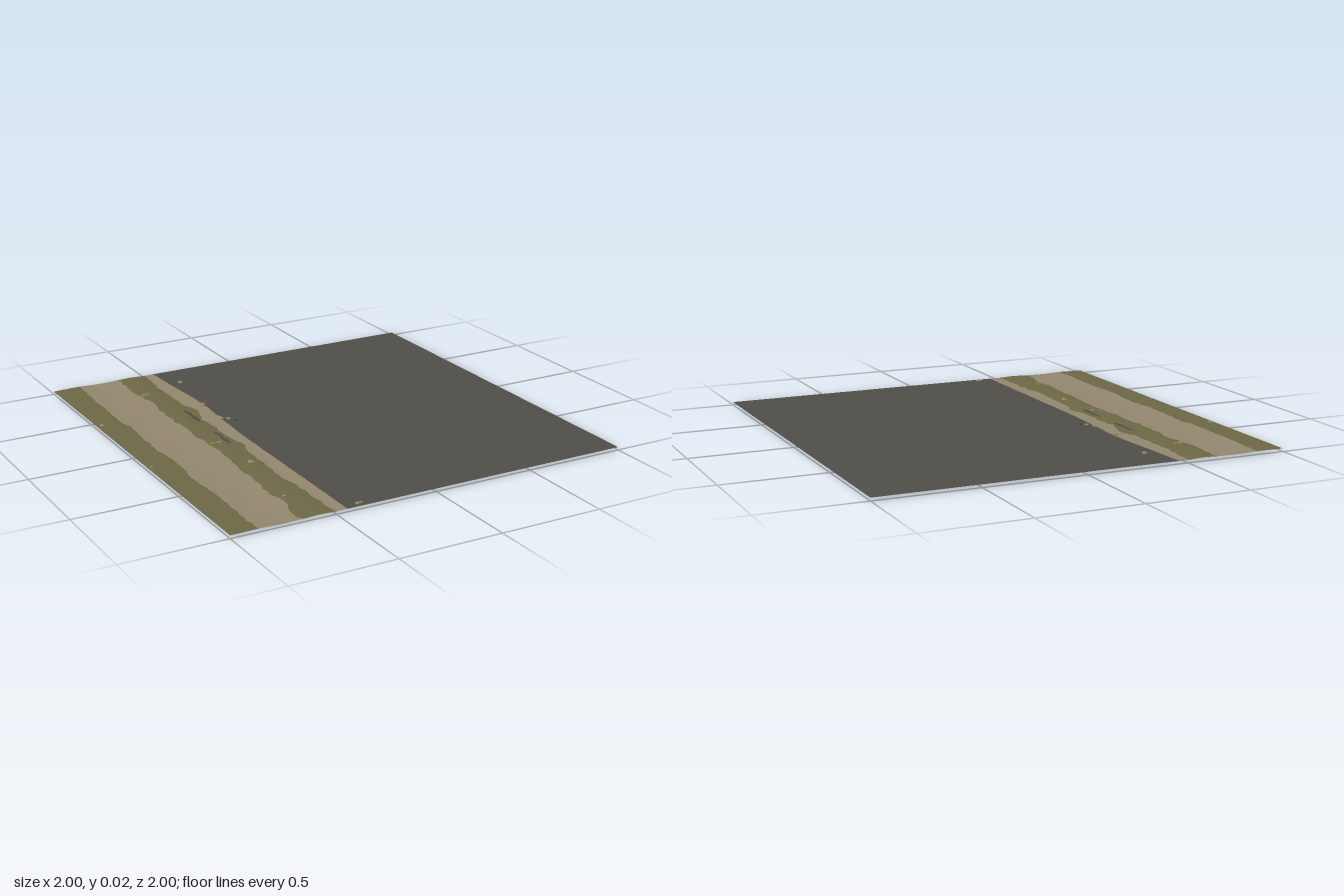
import * as THREE from 'three';

const mat = (name, color, side = THREE.DoubleSide) => {
  const m = new THREE.MeshStandardMaterial({ color, side });
  m.name = name;
  return m;
};

// small seeded random
let seed = 7;
const rnd = () => (seed = (seed * 16807) % 2147483647) / 2147483647;

// piecewise-linear lookup in [position, value] pairs
const lookup = (pts, t) => {
  for (let i = 1; i < pts.length; i++) {
    if (t <= pts[i][0]) {
      const [a, va] = pts[i - 1], [b, vb] = pts[i];
      return va + (vb - va) * (t - a) / (b - a);
    }
  }
  return pts[pts.length - 1][1];
};

// shallow ruts of the verge, across the road
const PROFILE = [[-1, 0.014], [-0.87, 0.016], [-0.76, 0.012], [-0.66, 0.014],
  [-0.58, 0.017], [-0.5, 0.013], [-0.43, 0.014], [1, 0.014]];
const heightAt = x => lookup(PROFILE, x);

// ragged edge: control points [z, x] plus a little jitter per row
const ROWS = 60;
const edge = (pts, jitter) => Array.from({ length: ROWS + 1 }, (_, i) =>
  lookup(pts, -1 + 2 * i / ROWS) + (rnd() - 0.5) * jitter);

// ground sheet between two edges
function strip(name, left, right, material, cols = 5) {
  const g = new THREE.PlaneGeometry(1, 1, cols, ROWS);
  const p = g.attributes.position;
  for (let i = 0; i < p.count; i++) {
    const row = Math.floor(i / (cols + 1)), u = (i % (cols + 1)) / cols;
    const x = left[row] + (right[row] - left[row]) * u;
    p.setXYZ(i, x, heightAt(x), -1 + 2 * row / ROWS);
  }
  g.computeVertexNormals();
  const mesh = new THREE.Mesh(g, material);
  mesh.name = name;
  return mesh;
}

export function createModel() {
  seed = 7;
  const group = new THREE.Group();
  group.name = 'roadside';
  const asphalt = mat('asphalt', 0x504f48);
  const dirt = mat('dirt', 0x94886f);
  const grass = mat('dry grass', 0x6e6946);
  const paleStone = mat('pale stone', 0x8f8468, THREE.FrontSide);
  const darkStone = mat('dark stone', 0x4b4a40, THREE.FrontSide);

  // edges between the bands
  const outer = edge([[-1, -1], [1, -1]], 0);
  const trackLeft = edge([[-1, -0.86], [-0.8, -0.873], [-0.4, -0.876], [-0.34, -0.862],
    [0, -0.876], [0.1, -0.862], [0.35, -0.875], [0.6, -0.866], [1, -0.874]], 0.012);
  const trackRight = edge([[-1, -0.645], [-0.84, -0.66], [-0.6, -0.632], [-0.4, -0.648],
    [-0.05, -0.643], [0.1, -0.63], [0.2, -0.632], [0.4, -0.645], [0.7, -0.658],
    [0.78, -0.642], [0.95, -0.675], [1, -0.66]], 0.016);
  const grassRight = edge([[-1, -0.503], [-0.8, -0.515], [-0.5, -0.512], [-0.4, -0.49],
    [-0.28, -0.52], [0, -0.505], [0.1, -0.492], [0.25, -0.515], [0.5, -0.528],
    [0.7, -0.512], [1, -0.5]], 0.016);
  const roadEdge = edge([[-1, -0.455], [-0.8, -0.442], [-0.55, -0.425], [-0.4, -0.424],
    [-0.2, -0.436], [0, -0.444], [1, -0.446]], 0.003);
  const far = edge([[-1, 1], [1, 1]], 0);

  group.add(
    strip('outerGrass', outer, trackLeft, grass),
    strip('dirtTrack', trackLeft, trackRight, dirt),
    strip('middleGrass', trackRight, grassRight, grass),
    strip('dirtShoulder', grassRight, roadEdge, dirt),
    strip('road', roadEdge, far, asphalt));

  // bare asphalt showing through the grass
  [[-0.545, -0.335, 0.18], [-0.545, -0.005, 0.17]].forEach(([x, z, len]) => {
    const s = new THREE.Shape([[-0.3, -0.5], [0.35, -0.5], [0.5, -0.25], [0.3, 0],
      [0.5, 0.2], [0.1, 0.5], [-0.3, 0.45], [-0.2, 0.1], [-0.45, -0.2]]
      .map(([a, b]) => new THREE.Vector2(a * 0.026, b * len)));
    const patch = new THREE.Mesh(new THREE.ShapeGeometry(s), asphalt);
    patch.name = 'barePatch';
    patch.rotation.x = -Math.PI / 2;
    patch.position.set(x, 0.0175, z);
    group.add(patch);
  });

  // loose stones: x, z, length, width, y, height, dark
  const stones = [
    [-0.385, -0.815, 0.025, 0.04, 0.015, 0.008], [-0.625, -0.72, 0.045, 0.022, 0.011, 0.022],
    [-0.6, -0.725, 0.03, 0.014, 0.015, 0.012], [-0.43, -0.45, 0.026, 0.04, 0.018, 0.01],
    [-0.975, -0.42, 0.026, 0.026, 0.018, 0.01], [-0.432, -0.25, 0.02, 0.05, 0.016, 0.008],
    [-0.405, -0.215, 0.022, 0.026, 0.017, 0.008], [-0.387, -0.183, 0.024, 0.026, 0.015, 0.008, 1],
    [-0.615, 0.042, 0.03, 0.018, 0.01, 0.02], [-0.582, 0.05, 0.03, 0.026, 0.018, 0.01],
    [-0.98, 0.17, 0.016, 0.026, 0.016, 0.006], [-0.565, 0.335, 0.028, 0.044, 0.018, 0.01],
    [-0.615, 0.75, 0.02, 0.018, 0.016, 0.006], [-0.38, 0.972, 0.022, 0.024, 0.015, 0.008],
    [-0.36, 0.968, 0.02, 0.018, 0.015, 0.007],
  ];
  const stoneShape = new THREE.DodecahedronGeometry(0.55, 0);
  stones.forEach(([x, z, w, d, y, h, dark], i) => {
    const stone = new THREE.Mesh(stoneShape, dark ? darkStone : paleStone);
    stone.name = 'stone';
    stone.scale.set(w, h, d);
    stone.rotation.y = ((i * 5) % 7 - 3) * 0.12;
    stone.position.set(x, y, z);
    group.add(stone);
  });
  return group;
}
